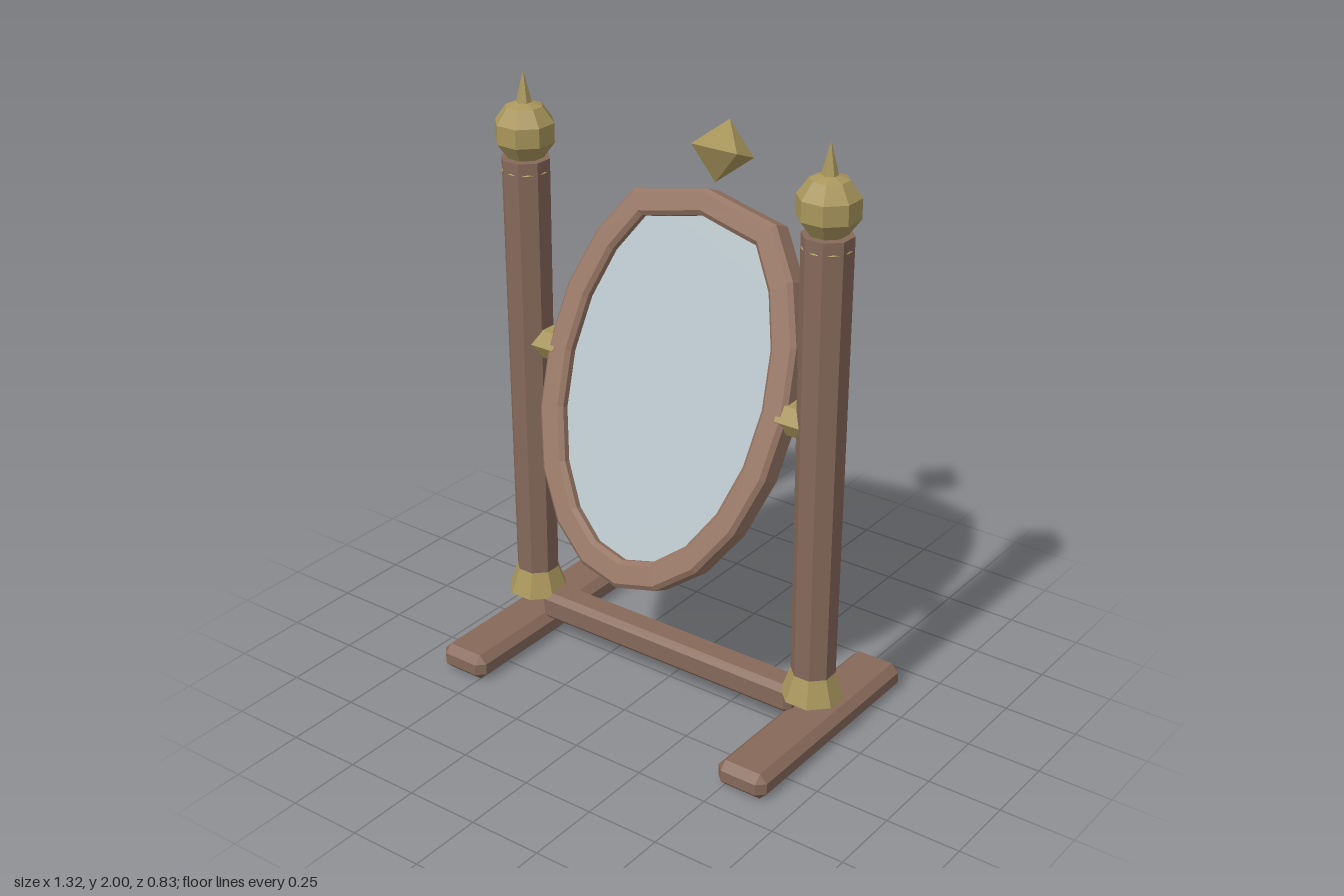
import * as THREE from 'three';
import { ConvexGeometry } from 'three/addons/geometries/ConvexGeometry.js';

const mat = (color) => new THREE.MeshStandardMaterial({ color, flatShading: true });
const wood = mat(0x86695a);
const frameWood = mat(0x967664);
const backWood = mat(0x614e41);
const brass = mat(0xa9965c);
const glass = mat(0xb6c3c8);

const TILT = THREE.MathUtils.degToRad(22);
const POST_X = 0.564;
const PIVOT_Y = 1.1;

function add(parent, name, geometry, material, x = 0, y = 0, z = 0) {
  const mesh = new THREE.Mesh(geometry, material);
  mesh.name = name;
  mesh.position.set(x, y, z);
  parent.add(mesh);
  return mesh;
}

// Box with every edge cut at 45 degrees
function chamferBox(w, h, d, c) {
  const points = [];
  for (const sx of [-1, 1]) for (const sy of [-1, 1]) for (const sz of [-1, 1]) {
    for (let axis = 0; axis < 3; axis++) {
      const half = [w / 2 - c, h / 2 - c, d / 2 - c];
      half[axis] += c;
      points.push(new THREE.Vector3(sx * half[0], sy * half[1], sz * half[2]));
    }
  }
  return new ConvexGeometry(points);
}

// Eight-sided turned section with flats facing front and sides
function octagon(rTop, rBottom, height) {
  return new THREE.CylinderGeometry(rTop, rBottom, height, 8).rotateY(Math.PI / 8);
}

// Twenty-sided oval whose crown is lowered into a shallow peak
function ovalPoints(rx, ry) {
  const points = [];
  for (let i = 0; i < 20; i++) {
    const a = (i / 20) * Math.PI * 2;
    const crown = i >= 4 && i <= 6 ? 0.89 : 1;
    points.push(new THREE.Vector2(Math.cos(a) * rx, Math.sin(a) * ry * crown));
  }
  return points;
}

function panel(rx, ry, depth) {
  return new THREE.ExtrudeGeometry(new THREE.Shape(ovalPoints(rx, ry)), { depth, bevelEnabled: false });
}

function createSide(side) {
  const group = new THREE.Group();
  group.name = side > 0 ? 'leftSupport' : 'rightSupport';
  group.position.x = side * POST_X;

  add(group, 'foot', chamferBox(0.18, 0.09, 0.826, 0.026), wood, 0, 0.046, 0);
  add(group, 'postSocket', octagon(0.07, 0.103, 0.095), brass, 0, 0.203, 0);
  add(group, 'post', octagon(0.08, 0.072, 1.555), wood, 0, 0.94, 0);

  // Thin collar just breaking the surface of the post
  const collar = new THREE.TorusGeometry(0.068, 0.0095, 4, 16).rotateX(Math.PI / 2);
  add(group, 'collar', collar, brass, 0, 1.677, 0);

  // Finial ball and spike
  const ball = new THREE.SphereGeometry(0.102, 8, 5).rotateY(Math.PI / 8);
  add(group, 'finialBall', ball, brass, 0, 1.803, 0);
  add(group, 'finialSpike', new THREE.ConeGeometry(0.032, 0.13, 6), brass, 0, 1.935, 0);

  // Pivot pin reaching in to the frame
  const pin = new THREE.CylinderGeometry(0.055, 0.055, 0.13, 6).rotateZ(Math.PI / 2);
  add(group, 'pivotPin', pin, brass, -side * 0.07, PIVOT_Y, 0);
  return group;
}

function createMirror() {
  const group = new THREE.Group();
  group.name = 'tiltingMirror';
  group.position.y = PIVOT_Y;
  group.rotation.x = -TILT;

  // Oval frame with chamfered edges
  const bevel = 0.014;
  const depth = 0.097;
  const shape = new THREE.Shape(ovalPoints(0.46 - bevel, 0.68 - bevel));
  shape.holes.push(new THREE.Path(ovalPoints(0.37 + bevel, 0.59 + bevel).reverse()));
  const frame = new THREE.ExtrudeGeometry(shape, {
    depth: depth - 2 * bevel,
    bevelEnabled: true,
    bevelSize: bevel,
    bevelThickness: bevel,
    bevelSegments: 1,
  });
  frame.translate(0, 0, bevel - depth / 2);
  add(group, 'frame', frame, frameWood);

  add(group, 'mirrorGlass', panel(0.375, 0.595, 0.012), glass, 0, 0, 0);
  add(group, 'backPanel', panel(0.4, 0.615, 0.035), backWood, 0, 0, -0.038);

  // Six-sided double pyramid above the crown
  const jewel = new THREE.SphereGeometry(0.1, 6, 2).rotateY(Math.PI / 6);
  add(group, 'crownOrnament', jewel, brass, 0, 0.73, 0);
  return group;
}

export function createModel() {
  const model = new THREE.Group();
  model.name = 'standingMirror';
  for (const side of [-1, 1]) model.add(createSide(side));
  add(model, 'stretcher', chamferBox(1.02, 0.1, 0.11, 0.02), wood, 0, 0.122, 0);
  model.add(createMirror());
  return model;
}
